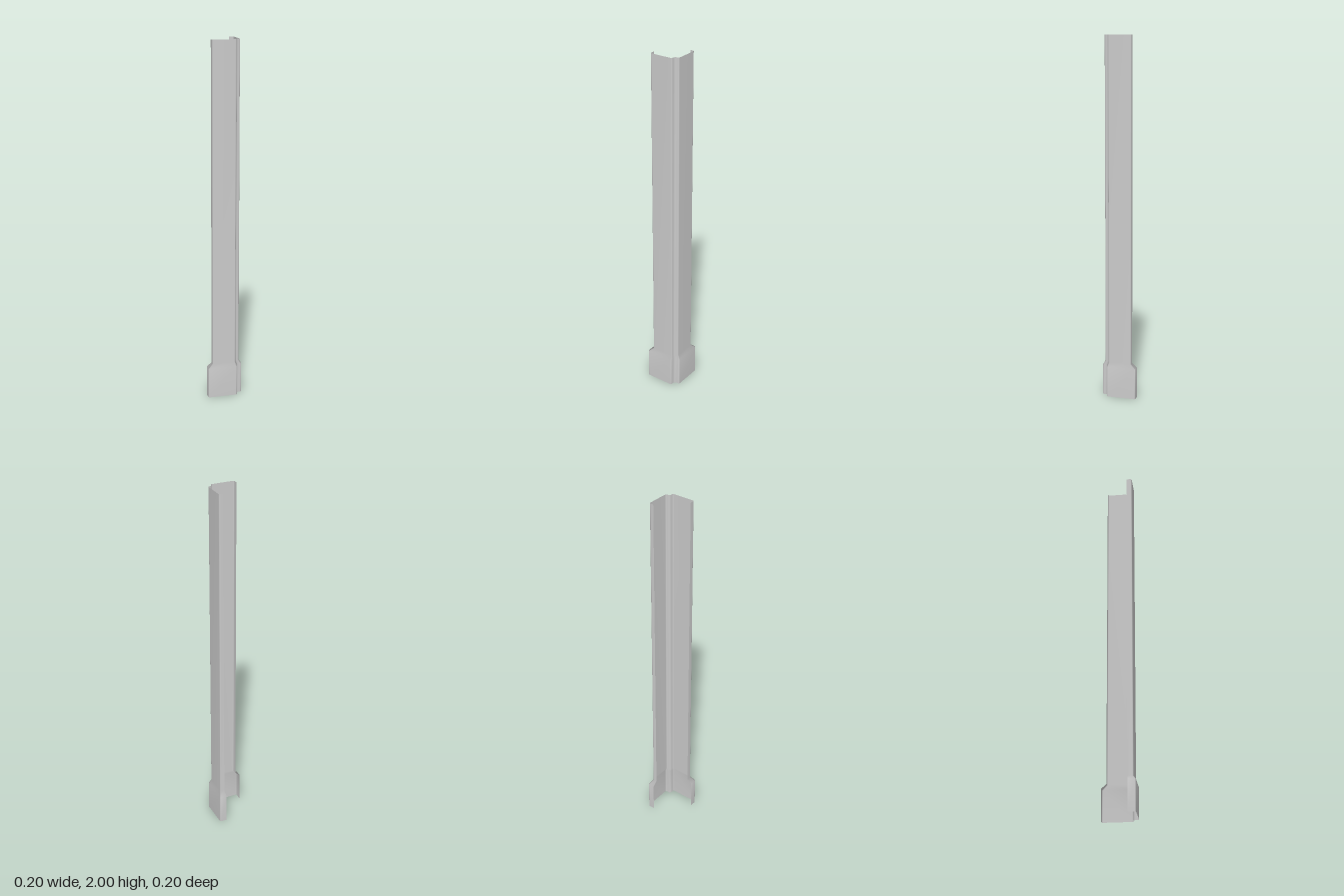
import * as THREE from 'three';

// Plan sections [x, z], from the left flange round the notched corner to the back flange
const shaft = [
  [-0.073, 0.056], [-0.073, 0.079], [-0.071, 0.083], [-0.067, 0.085],
  [0.053, 0.085], [0.058, 0.083], [0.06, 0.078], [0.061, 0.069],
  [0.064, 0.063], [0.07, 0.06], [0.079, 0.059], [0.084, 0.057], [0.086, 0.052],
  [0.086, -0.067], [0.084, -0.071], [0.08, -0.073], [0.061, -0.073],
];
const base = [
  [-0.101, 0.056], [-0.101, 0.093], [-0.099, 0.097], [-0.095, 0.099],
  [0.059, 0.099], [0.064, 0.097], [0.066, 0.092], [0.067, 0.079],
  [0.07, 0.071], [0.076, 0.067], [0.091, 0.066], [0.097, 0.064], [0.1, 0.059],
  [0.1, -0.095], [0.098, -0.099], [0.094, -0.101], [0.061, -0.101],
];

// Skin a sheet through sections stacked at given heights
function loftSheet(rows) {
  const n = rows[0].section.length;
  const positions = [], index = [];
  rows.forEach(({ y, section }, r) => {
    section.forEach(([x, z], i) => {
      positions.push(x, y, z);
      if (r < rows.length - 1 && i < n - 1) {
        const a = r * n + i, b = a + 1, c = a + n, d = c + 1;
        index.push(a, b, d, a, d, c);
      }
    });
  });
  const geometry = new THREE.BufferGeometry();
  geometry.setAttribute('position', new THREE.Float32BufferAttribute(positions, 3));
  geometry.setIndex(index);
  geometry.computeVertexNormals();
  return geometry;
}

export function createModel() {
  const group = new THREE.Group();
  group.name = 'cornerPost';
  const material = new THREE.MeshStandardMaterial({ color: 0xcccccc, side: THREE.DoubleSide });

  // Folded sheet: wide foot, short shoulder, long slim shaft
  const sheet = new THREE.Mesh(loftSheet([
    { y: 0, section: base },
    { y: 0.172, section: base },
    { y: 0.196, section: shaft },
    { y: 2, section: shaft },
  ]), material);
  sheet.name = 'cornerTrimSheet';
  group.add(sheet);
  return group;
}
